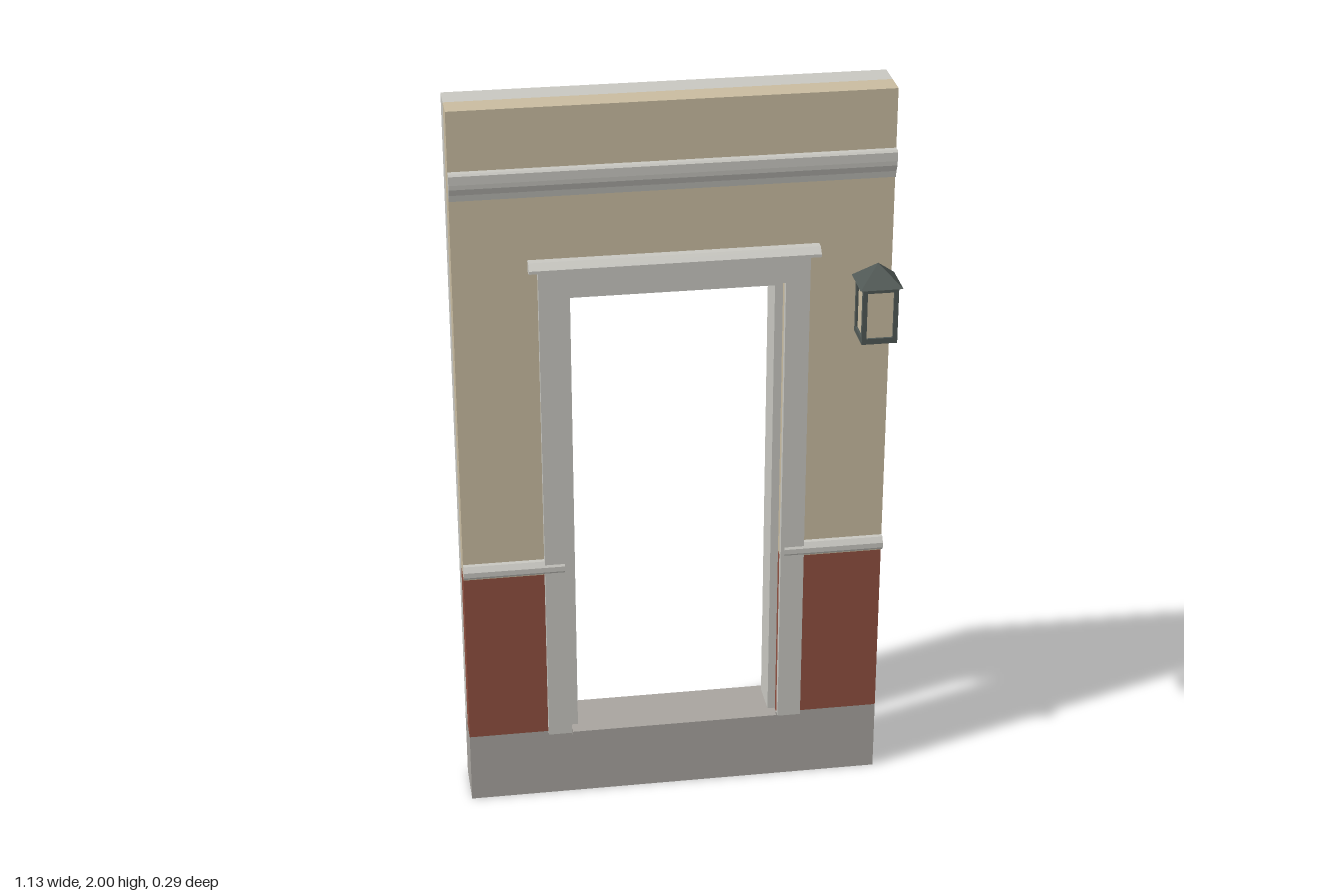
import * as THREE from 'three';

const mat = (name, color) => Object.assign(new THREE.MeshStandardMaterial({ color }), { name });

export function createModel() {
  const model = new THREE.Group();
  const plaster = mat('beige plaster', 0xc9bca0);
  const brick = mat('red brick', 0x8f5040);
  const trim = mat('pale trim', 0xc8c7c1);
  const concrete = mat('grey concrete', 0xa8a49f);
  const iron = mat('dark iron', 0x505855);

  const BACK = -0.145, MID = -0.073, FACE = -0.005;
  const W = 0.563, DOOR = 0.285, DOOR_TOP = 1.5, BASE = 0.2;

  const add = (name, geometry, material, parent = model) => {
    const mesh = new THREE.Mesh(geometry, material);
    mesh.name = name;
    parent.add(mesh);
    return mesh;
  };
  // box given by its lower and upper corners
  const box = (name, material, [x0, y0, z0], [x1, y1, z1], parent) => {
    const m = add(name, new THREE.BoxGeometry(x1 - x0, y1 - y0, z1 - z0), material, parent);
    m.position.set((x0 + x1) / 2, (y0 + y1) / 2, (z0 + z1) / 2);
    return m;
  };
  // upside-down U: outer half-width and top around an inner half-width and top
  const arch = (name, material, ow, ot, iw, it, bottom, z0, z1) => {
    const s = new THREE.Shape([
      [-ow, bottom], [-iw, bottom], [-iw, it], [iw, it],
      [iw, bottom], [ow, bottom], [ow, ot], [-ow, ot],
    ].map(([x, y]) => new THREE.Vector2(x, y)));
    const g = new THREE.ExtrudeGeometry(s, { depth: z1 - z0, bevelEnabled: false });
    add(name, g.translate(0, 0, z0), material);
  };
  // (z, y) profile run along x from x0 to x1
  const moulding = (name, profile, x0, x1) => {
    const s = new THREE.Shape(profile.map(([z, y]) => new THREE.Vector2(-z, y)));
    const g = new THREE.ExtrudeGeometry(s, { depth: x1 - x0, bevelEnabled: false });
    add(name, g.rotateY(Math.PI / 2).translate(x0, 0, 0), trim);
  };

  // wall layers
  box('plinth', concrete, [-W, 0, BACK], [W, BASE, FACE]);
  arch('innerWall', trim, W, 2, DOOR, DOOR_TOP, BASE, BACK, MID);
  arch('outerWall', plaster, W, 2, DOOR, DOOR_TOP, 0.7, MID, FACE);
  for (const [side, a, b] of [['right', -W, -DOOR], ['left', DOOR, W]]) {
    box(side + 'BrickPanel', brick, [a, BASE, MID], [b, 0.7, FACE]);
    box(side + 'PlasterEdge', plaster, [a, 0.692, FACE], [b, 0.7, FACE + 0.002]);
  }

  // door surround
  arch('doorCasing', trim, 0.348, 1.575, DOOR, DOOR_TOP, BASE, FACE, 0.014);
  arch('doorJamb', trim, DOOR, DOOR_TOP, 0.264, 1.478, BASE, -0.125, -0.025);
  box('threshold', concrete, [-0.282, 0.187, BACK], [0.282, 0.202, 0.013]);
  moulding('doorCrown', [
    [FACE, 1.568], [0.018, 1.568], [0.034, 1.574], [0.034, 1.582], [0.016, 1.597], [FACE, 1.597],
  ], -0.372, 0.372);

  // horizontal mouldings
  moulding('cornice', [
    [FACE, 1.768], [0.003, 1.768], [0.006, 1.785], [0.011, 1.795], [0.015, 1.803],
    [0.016, 1.815], [0.016, 1.838], [0.011, 1.843], [FACE, 1.843],
  ], -W, W);
  const rail = [[FACE, 0.7], [0.013, 0.703], [0.018, 0.71], [0.018, 0.724], [0.008, 0.738], [FACE, 0.738]];
  moulding('rightChairRail', rail, -W, -0.295);
  moulding('leftChairRail', rail, 0.295, W);

  // wall lantern
  const lamp = new THREE.Group();
  lamp.name = 'lantern';
  lamp.position.set(0.505, 0, 0.09);
  model.add(lamp);
  box('wallPlate', iron, [-0.022, 1.385, -0.095], [0.022, 1.495, -0.077], lamp);
  box('arm', iron, [-0.007, 1.43, -0.08], [0.007, 1.448, -0.035], lamp);
  const h = 0.046;
  box('lanternBase', iron, [-h, 1.37, -h], [h, 1.385, h], lamp);
  box('lanternGlass', plaster, [-0.04, 1.385, -0.04], [0.04, 1.515, 0.04], lamp);
  box('lanternTop', iron, [-h, 1.51, -h], [h, 1.522, h], lamp);
  for (const x of [-1, 1]) for (const z of [-1, 1]) {
    const p = box('lanternPost', iron, [-0.006, 1.38, -0.006], [0.006, 1.515, 0.006], lamp);
    p.position.x = x * 0.04;
    p.position.z = z * 0.04;
  }
  const roof = new THREE.ConeGeometry(0.055 * Math.SQRT2, 0.052, 4, 1).toNonIndexed();
  roof.computeVertexNormals();
  add('lanternRoof', roof.rotateY(Math.PI / 4), iron, lamp).position.y = 1.548;

  return model;
}
